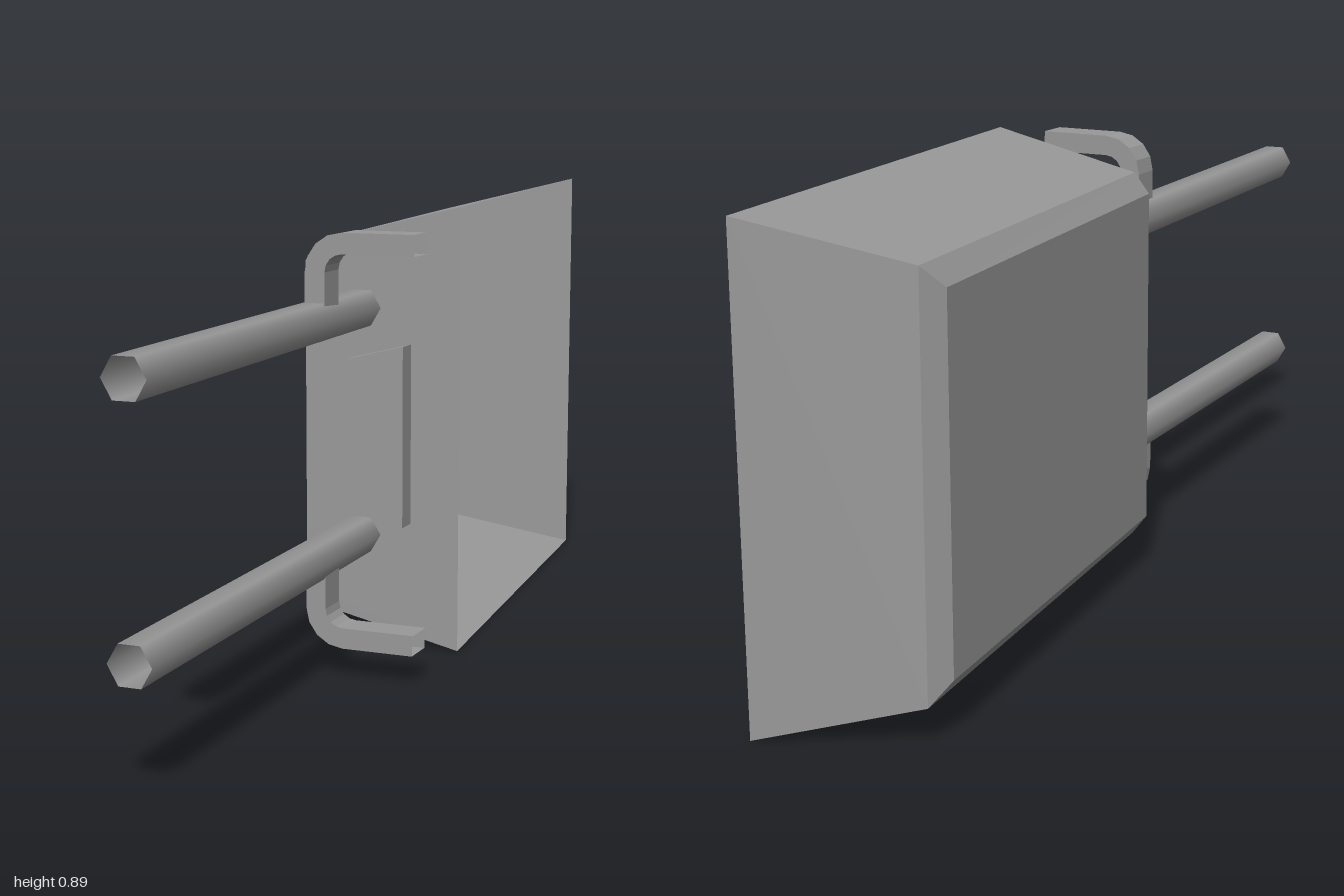
import * as THREE from 'three';

const flat = new THREE.MeshStandardMaterial({ color: 0x999999, flatShading: true, side: THREE.DoubleSide });
const smooth = new THREE.MeshStandardMaterial({ color: 0x999999, side: THREE.DoubleSide });

// Skin four-cornered rings one after another; optionally close the last one.
// skip: index of a ring side to leave out.
function skin(rings, capEnd = false, skip = -1) {
  const pos = [];
  const quad = (a, b, c, d) => pos.push(...a, ...b, ...c, ...a, ...c, ...d);
  for (let i = 0; i < rings.length - 1; i++) {
    for (let j = 0; j < 4; j++) {
      if (j === skip) continue;
      const k = (j + 1) % 4;
      quad(rings[i][j], rings[i][k], rings[i + 1][k], rings[i + 1][j]);
    }
  }
  if (capEnd) quad(...rings[rings.length - 1]);
  const g = new THREE.BufferGeometry();
  g.setAttribute('position', new THREE.Float32BufferAttribute(pos, 3));
  g.computeVertexNormals();
  return g;
}

// Depth of the slightly turned front plane, pushed forward by d
const frontZ = (x, d = 0) => 0.0186 - 0.095 * x + d;

export function createModel() {
  const model = new THREE.Group();
  const add = (name, geometry, material = flat) => {
    const mesh = new THREE.Mesh(geometry, material);
    mesh.name = name;
    model.add(mesh);
  };

  // Housing: open rim, tapered walls, small bevel and floor (front side left out)
  const ring = (xf, xb, zb, y0, y1) => [
    [xf, y0, frontZ(xf)], [xf, y1, frontZ(xf)], [xb, y1, zb], [xb, y0, zb],
  ];
  add('housing', skin([
    ring(0.197, 0.098, -1, 0, 0.887),
    ring(-0.09, -0.18, -0.885, 0.072, 0.815),
    ring(-0.12, -0.206, -0.845, 0.112, 0.775),
  ], true, 0));

  // Front wall of the housing with the latch opening
  const neck = [[0.008, 0.313], [0.088, 0.294], [0.088, 0.595], [0.008, 0.576]];
  const points = (list) => list.map(([x, y]) => new THREE.Vector2(x, y));
  const wall = new THREE.Shape(points([
    [0.197, 0], [0.197, 0.887], [-0.09, 0.815], [-0.12, 0.775], [-0.12, 0.112], [-0.09, 0.072],
  ]));
  wall.holes.push(new THREE.Path(points(neck)));
  const wallGeometry = new THREE.ShapeGeometry(wall);
  const p = wallGeometry.attributes.position;
  for (let i = 0; i < p.count; i++) p.setZ(i, frontZ(p.getX(i)));
  wallGeometry.computeVertexNormals();
  add('frontWall', wallGeometry);

  // Latch: hollow neck widening to a flat head
  const head = [[0.002, 0.294], [0.118, 0.266], [0.118, 0.623], [0.002, 0.594]];
  const at = (outline, d) => outline.map(([x, y]) => [x, y, frontZ(x, d)]);
  add('latch', skin([at(neck, 0), at(neck, 0.049), at(head, 0.049), at(head, 0.091)], true));

  // Hook outline: inner and outer edge points along the bend
  const edges = [[[-0.013, 0.7], [0.027, 0.7]]];
  for (let i = 0; i <= 4; i++) {
    const a = Math.PI - (i / 4) * (Math.PI / 2);
    const c = Math.cos(a), s = Math.sin(a);
    edges.push([[0.062 + 0.075 * c, 0.778 + 0.075 * s], [0.062 + 0.035 * c, 0.778 + 0.035 * s]]);
  }
  edges.push([[0.203, 0.853], [0.205, 0.813]]);

  // Upper and lower rod with its hook, mirrored about the middle height
  for (const [side, upper] of [['upper', true], ['lower', false]]) {
    const flip = (y) => (upper ? y : 0.912 - y);

    const rod = new THREE.CylinderGeometry(0.0405, 0.0405, 1.44, 6, 1, true);
    rod.rotateY(Math.PI / 6).rotateX(Math.PI / 2).rotateY(0.034);
    rod.translate(0.0045, flip(0.685), 0.28);
    add(side + 'Rod', rod, smooth);

    const rings = edges.map(([o, n]) => {
      const z = (x, base) => base - 0.03 * x;
      return [
        [o[0], flip(o[1]), z(o[0], 0.197)], [n[0], flip(n[1]), z(n[0], 0.197)],
        [n[0], flip(n[1]), z(n[0], 0.26)], [o[0], flip(o[1]), z(o[0], 0.26)],
      ];
    });
    add(side + 'Hook', skin(rings));
  }
  return model;
}
